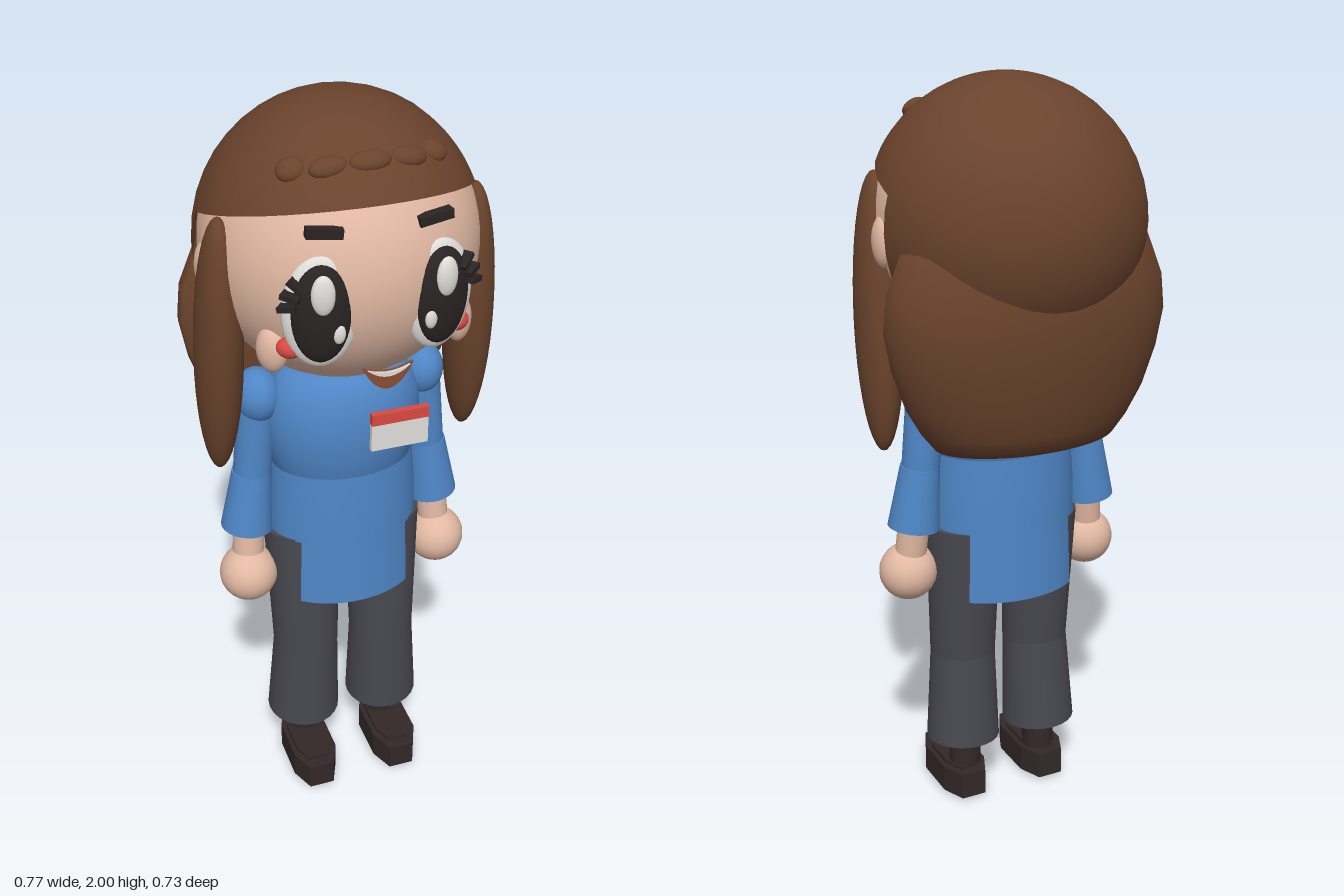
import * as THREE from 'three';

const mat = (name, color, side = THREE.FrontSide) => {
  const m = new THREE.MeshStandardMaterial({ color, side });
  m.name = name;
  return m;
};

export function createModel() {
  const hair = mat('brown hair', 0x6a432c, THREE.DoubleSide);
  const skin = mat('skin', 0xe2b9a3);
  const shirt = mat('blue shirt', 0x4f86c6, THREE.DoubleSide);
  const trousers = mat('grey trousers', 0x484850);
  const shoes = mat('dark shoes', 0x332828);
  const dark = mat('dark eye', 0x2a2424);
  const white = mat('white', 0xe0dfda);
  const red = mat('red', 0xd94a42);
  const mouthBrown = mat('mouth brown', 0x8a4c34);

  const model = new THREE.Group();
  model.name = 'figure';
  const add = (name, geo, material, pos = [0, 0, 0], rot = [0, 0, 0]) => {
    const mesh = new THREE.Mesh(geo, material);
    mesh.name = name;
    mesh.position.set(...pos);
    mesh.rotation.set(...rot);
    model.add(mesh);
    return mesh;
  };
  const ball = (name, material, pos, radii, rot, seg = 24) =>
    add(name, new THREE.SphereGeometry(1, seg, Math.ceil(seg * 0.75)), material, pos, rot).scale.set(...radii);
  const box = (name, material, pos, size, rot) => add(name, new THREE.BoxGeometry(...size), material, pos, rot);
  // tapered limb between two points
  const limb = (name, material, a, b, ra, rb) => {
    const p = new THREE.Vector3(...a), q = new THREE.Vector3(...b);
    const d = p.clone().sub(q);
    const mesh = add(name, new THREE.CylinderGeometry(ra, rb, d.length(), 24), material);
    mesh.position.copy(p).add(q).multiplyScalar(0.5);
    mesh.quaternion.setFromUnitVectors(new THREE.Vector3(0, 1, 0), d.normalize());
    return mesh;
  };
  // lathe from [radius, y] points, listed upward
  const lathe = (points, start = 0, length = Math.PI * 2, seg = 36) =>
    new THREE.LatheGeometry(points.map(p => new THREE.Vector2(...p)), seg, start, length);

  // Head and neck
  ball('head', skin, [0, 1.64, 0], [0.343, 0.343, 0.343], [0, 0, 0], 40);
  limb('neck', skin, [0, 1.36, 0.01], [0, 1.26, 0.01], 0.08, 0.08);

  // Hair: tilted top cap, back shell, long back and front knots
  const topCap = new THREE.SphereGeometry(0.36, 40, 20, 0, Math.PI * 2, 0, 1.287).rotateX(-0.326);
  add('topHair', topCap, hair, [0, 1.64, 0]).scale.set(0.975, 1, 1.01);
  const backShell = new THREE.SphereGeometry(0.362, 40, 20, 0, Math.PI * 2, 0, 1.43).rotateX(-Math.PI / 2);
  add('backHair', backShell, hair, [0, 1.64, 0]).scale.set(0.98, 0.996, 1.01);

  const longHair = lathe([[0, 1.09], [0.25, 1.09], [0.29, 1.14], [0.33, 1.21], [0.365, 1.31], [0.384, 1.41],
    [0.375, 1.5], [0.335, 1.6], [0.25, 1.68], [0.12, 1.72], [0, 1.73]]);
  const hp = longHair.attributes.position;
  for (let i = 0; i < hp.count; i++) hp.setZ(i, hp.getZ(i) * (hp.getZ(i) < 0 ? 0.56 : 0.18));
  longHair.computeVertexNormals();
  add('longHair', longHair, hair, [0, 0, -0.11]);

  for (const [x, z, rx, rz] of [[0, 0.22, 0.05, 0.026], [0.095, 0.208, 0.045, 0.026], [-0.095, 0.208, 0.045, 0.026],
    [0.17, 0.17, 0.035, 0.03], [-0.17, 0.17, 0.035, 0.03]])
    ball('fringeKnot', hair, [x, 1.64 + Math.sqrt(0.1296 - x * x - z * z) - 0.005, z], [rx, 0.02, rz], [0.6, 0, -x * 2]);

  // Torso
  const rz = 0.75;
  const torso = (name, geo) => add(name, geo, shirt, [0, 0, 0.022]).scale.set(1, 1, rz);
  torso('bodice', lathe([[0.17, 1.01], [0.187, 1.03], [0.203, 1.1], [0.209, 1.16], [0.203, 1.22],
    [0.185, 1.27], [0.155, 1.305], [0.1, 1.325], [0, 1.33]]));
  torso('tunicSkirt', lathe([[0.203, 0.83], [0.201, 0.92], [0.192, 1.035]]));
  for (const [name, mid] of [['frontPanel', 0], ['backPanel', Math.PI]])
    torso(name, lathe([[0.211, 0.638], [0.203, 0.835]], mid - 0.8, 1.6, 16));

  // Mouth
  const smile = new THREE.Shape();
  smile.moveTo(-0.062, 1.474);
  smile.quadraticCurveTo(0, 1.445, 0.062, 1.474);
  smile.quadraticCurveTo(0.035, 1.415, 0, 1.412);
  smile.quadraticCurveTo(-0.035, 1.415, -0.062, 1.474);
  add('mouth', new THREE.ExtrudeGeometry(smile, { depth: 0.009, bevelEnabled: false, curveSegments: 10 }), mouthBrown, [0, 0, 0.349]);
  const teeth = new THREE.Shape();
  teeth.moveTo(-0.052, 1.471);
  teeth.quadraticCurveTo(0, 1.448, 0.052, 1.471);
  teeth.quadraticCurveTo(0, 1.425, -0.052, 1.471);
  add('teeth', new THREE.ExtrudeGeometry(teeth, { depth: 0.006, bevelEnabled: false, curveSegments: 10 }), white, [0, 0, 0.358]);

  // Badge on the chest
  box('badge', white, [0.085, 1.188, 0.221], [0.15, 0.076, 0.014]);
  box('badgeStripe', red, [0.085, 1.241, 0.223], [0.15, 0.03, 0.018]);

  // Shoe outline seen from above, toe toward +z after rotation
  const sole = (w, l) => {
    const s = new THREE.Shape([[-0.5, -0.25], [-0.28, -0.5], [0.28, -0.5], [0.5, -0.25], [0.5, 0.25], [0.28, 0.5],
      [-0.28, 0.5], [-0.5, 0.25]].map(([x, y]) => new THREE.Vector2(x * w, y * l)));
    return s;
  };
  const shoePart = (w, l, h) =>
    new THREE.ExtrudeGeometry(sole(w, l), { depth: h, bevelEnabled: false }).rotateX(-Math.PI / 2);

  for (const s of [1, -1]) {
    // Side hair, ears and cheeks
    ball('sideLock', hair, [s * 0.326, 1.415, 0.06], [0.06, 0.357, 0.083], [0.07, 0, s * 0.02], 28);
    ball('ear', skin, [s * 0.332, 1.61, 0], [0.028, 0.065, 0.04]);
    ball('cheek', skin, [s * 0.235, 1.48, 0.21], [0.04, 0.06, 0.03], [0, s * 0.8, 0]);
    ball('blush', red, [s * 0.207, 1.507, 0.262], [0.032, 0.025, 0.027], [0, s * 0.5, 0]);

    // Eyes, highlights, lashes and brows
    const turn = [0, s * 0.2, 0];
    ball('eyeWhite', white, [s * 0.143, 1.605, 0.295], [0.09, 0.14, 0.028], turn);
    ball('iris', dark, [s * 0.146, 1.607, 0.309], [0.07, 0.123, 0.03], turn);
    ball('eyeHighlight', white, [s * 0.148, 1.665, 0.332], [0.028, 0.05, 0.016], turn);
    ball('smallHighlight', white, [s * 0.112, 1.565, 0.335], [0.016, 0.026, 0.01], turn);
    for (const [x, y, a] of [[0.2, 1.685, 0.6], [0.215, 1.66, 0.2], [0.222, 1.635, -0.2]])
      box('eyelash', dark, [s * x, y, 0.305], [0.045, 0.013, 0.03], [0, s * 0.7, s * a]);
    box('eyebrow', dark, [s * 0.131, 1.797, 0.288], [0.085, 0.023, 0.025], [0, s * 0.12, s * 0.1]);

    // Arms
    ball('shoulder', shirt, [s * 0.22, 1.238, 0.012], [0.06, 0.073, 0.068]);
    limb('upperSleeve', shirt, [s * 0.222, 1.22, 0.01], [s * 0.243, 0.99, 0.012], 0.052, 0.05);
    limb('lowerSleeve', shirt, [s * 0.243, 1.01, 0.012], [s * 0.263, 0.842, 0.016], 0.052, 0.069);
    limb('wrist', skin, [s * 0.258, 0.86, 0.022], [s * 0.268, 0.74, 0.034], 0.042, 0.042);
    ball('hand', skin, [s * 0.27, 0.705, 0.043], [0.078, 0.078, 0.078]);

    // Legs
    limb('thigh', trousers, [s * 0.114, 0.83, 0.025], [s * 0.112, 0.43, 0.045], 0.102, 0.09);
    limb('shin', trousers, [s * 0.112, 0.45, 0.044], [s * 0.119, 0.177, 0.032], 0.089, 0.102);
    limb('ankle', shoes, [s * 0.115, 0.2, 0.028], [s * 0.117, 0.08, 0.025], 0.046, 0.044);

    // Shoes
    add('shoe', shoePart(0.125, 0.26, 0.075), shoes, [s * 0.122, 0.01, 0.085]);
    add('shoeTop', shoePart(0.1, 0.2, 0.096), shoes, [s * 0.122, 0, 0.085]);
  }
  return model;
}
